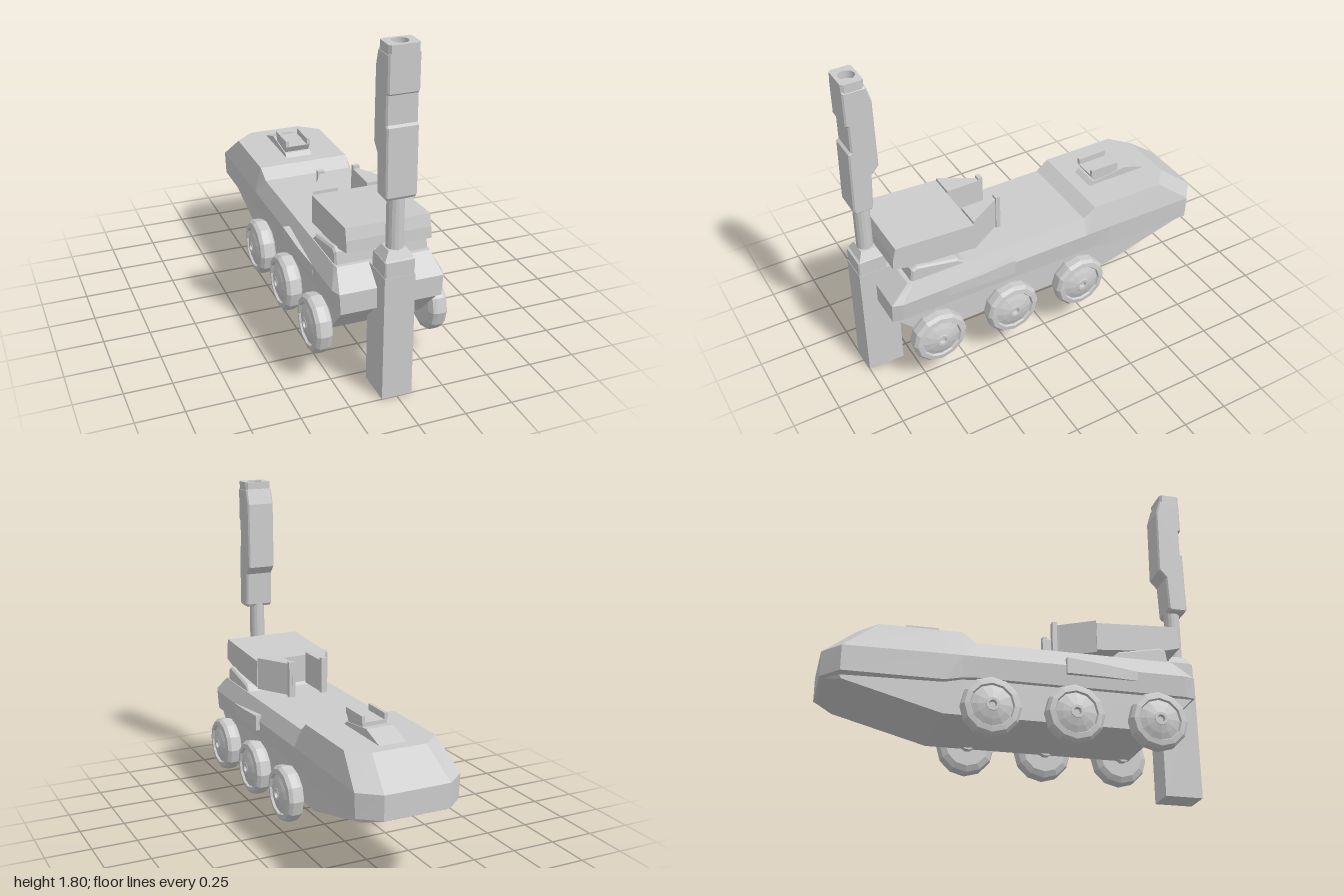
import * as THREE from 'three';

const grey = new THREE.MeshStandardMaterial({ color: 0xcccccc, flatShading: true });

function add(parent, name, geometry, x = 0, y = 0, z = 0) {
  const mesh = new THREE.Mesh(geometry, grey);
  mesh.name = name;
  mesh.position.set(x, y, z);
  parent.add(mesh);
  return mesh;
}

const shapeOf = pts => new THREE.Shape(pts.map(p => new THREE.Vector2(...p)));

// Side outline of [z, y] points, extruded across x and centred on x = 0
function sideSlab(pts, width, bevel = 0) {
  const g = new THREE.ExtrudeGeometry(shapeOf(pts), {
    depth: width - 2 * bevel, bevelEnabled: bevel > 0, bevelSegments: 1,
    bevelSize: bevel, bevelThickness: bevel, bevelOffset: -bevel,
  });
  g.translate(0, 0, -(width - 2 * bevel) / 2);
  return g.rotateY(-Math.PI / 2);
}

// Plan outline of [x, -z] points, extruded upwards from y0 to y1
function planSlab(shape, y0, y1) {
  const g = new THREE.ExtrudeGeometry(shape, { depth: y1 - y0, bevelEnabled: false });
  return g.rotateX(-Math.PI / 2).translate(0, y0, 0);
}

// Skin over half-sections (bottom to top on +x), mirrored and capped, front to rear
function loft(halves) {
  const rings = halves.map(h => [...h, ...h.slice().reverse().map(([x, y, z]) => [-x, y, z])]);
  const n = rings[0].length;
  const pos = [];
  const quad = (a, b, c, d) => pos.push(...a, ...b, ...c, ...a, ...c, ...d);
  for (let i = 0; i < rings.length - 1; i++) {
    for (let j = 0; j < n; j++) {
      const k = (j + 1) % n;
      quad(rings[i][j], rings[i + 1][j], rings[i + 1][k], rings[i][k]);
    }
  }
  const f = rings[0], r = rings[rings.length - 1];
  for (let j = 0; j < n / 2 - 1; j++) {
    quad(f[j], f[j + 1], f[n - 2 - j], f[n - 1 - j]);
    quad(r[n - 1 - j], r[n - 2 - j], r[j + 1], r[j]);
  }
  const g = new THREE.BufferGeometry();
  g.setAttribute('position', new THREE.Float32BufferAttribute(pos, 3));
  g.computeVertexNormals();
  return g;
}

export function createModel() {
  const model = new THREE.Group();
  model.name = 'sixWheeledVehicle';

  // Hull: bottom edge, shelf, lower belt, upper belt, deck edge
  add(model, 'hull', loft([
    [[.25, .28, .72], [.25, .47, .905], [.265, .47, .915], [.272, .58, .915], [.245, .67, .81]],
    [[.25, .28, .70], [.25, .47, .84], [.28, .47, .86], [.29, .58, .86], [.25, .67, .78]],
    [[.25, .28, -.24], [.25, .47, -.24], [.28, .47, -.24], [.29, .58, -.24], [.25, .67, -.24]],
    [[.25, .28, -.31], [.25, .465, -.31], [.28, .465, -.31], [.29, .58, -.31], [.255, .72, -.31]],
    [[.25, .28, -.40], [.25, .445, -.40], [.285, .445, -.40], [.29, .58, -.40], [.255, .72, -.40]],
    [[.25, .415, -.90], [.25, .435, -.91], [.285, .445, -.91], [.29, .575, -.91], [.255, .72, -.73]],
    [[.17, .437, -.985], [.175, .44, -.99], [.18, .445, -1], [.18, .575, -1], [.15, .72, -.82]],
  ]));

  // Flared side strips that end in a step
  for (const s of [1, -1]) {
    const strip = shapeOf([[.26, -.22], [.31, -.22], [.305, -.42], [.29, -.60], [.26, -.60]]);
    const g = planSlab(strip, .53, .615);
    const p = g.attributes.position;
    for (let i = 0; i < p.count; i++) {
      // Top drops towards the front
      if (p.getY(i) > .6) p.setY(i, .615 - (p.getZ(i) - .22) * .09);
      if (s < 0) p.setX(i, -p.getX(i));
    }
    if (s < 0) {
      for (let i = 0; i < p.count; i += 3) {
        const a = new THREE.Vector3().fromBufferAttribute(p, i);
        const b = new THREE.Vector3().fromBufferAttribute(p, i + 1);
        p.setXYZ(i, b.x, b.y, b.z);
        p.setXYZ(i + 1, a.x, a.y, a.z);
      }
    }
    g.computeVertexNormals();
    add(model, s > 0 ? 'leftSideStrip' : 'rightSideStrip', g);
  }

  // Wheels: faceted tyre with a shallow dished hub
  const profile = [
    [0, -.045], [.115, -.045], [.145, -.03], [.152, -.01], [.152, .03], [.138, .048],
    [.112, .052], [.106, .04], [.075, .052], [.036, .062], [.034, .064], [.02, .064], [.016, .045], [0, .045],
  ].map(p => new THREE.Vector2(...p));
  const wheelGeometry = new THREE.LatheGeometry(profile, 12);
  for (const s of [1, -1]) {
    for (const z of [.685, .25, -.175]) {
      const wheel = add(model, 'wheel', wheelGeometry, s * .303, .308, z);
      wheel.rotation.z = -s * Math.PI / 2;
      const axle = add(model, 'axle', new THREE.CylinderGeometry(.04, .04, .06, 10), s * .25, .308, z);
      axle.rotation.z = Math.PI / 2;
    }
  }

  // Launcher on its sloping mount
  const launcher = new THREE.Group();
  launcher.name = 'launcher';
  model.add(launcher);
  add(launcher, 'mountBase', sideSlab([[.79, .66], [.78, .735], [.75, .75], [.52, .705], [.47, .66]], .49, .01));
  add(launcher, 'pivot', sideSlab([[.74, .70], [.70, .78], [.50, .76], [.48, .69]], .26));
  add(launcher, 'launcherBox', sideSlab([[.87, .77], [.865, .83], [.85, .892], [.41, .868], [.41, .715], [.76, .742]], .44));
  for (const s of [1, -1]) {
    const pts = [[.08, -.41], [.215, -.41], [.115, -.24], [.095, -.20], [.08, -.20]];
    const door = planSlab(shapeOf(pts.map(([x, y]) => [s * x, y])), .705, .885);
    add(launcher, 'rearDoor', door);
    add(launcher, 'doorEdge', new THREE.BoxGeometry(.035, .20, .025), s * .098, .80, .213);
  }

  // Bracket on the rear deck
  const bracket = new THREE.Group();
  bracket.name = 'rearBracket';
  model.add(bracket);
  add(bracket, 'bracketBase', sideSlab([[-.38, .715], [-.41, .74], [-.62, .765], [-.77, .715]], .15));
  add(bracket, 'bracketBlock', sideSlab([[-.43, .73], [-.40, .78], [-.57, .78], [-.57, .73]], .14));
  for (const s of [1, -1]) {
    add(bracket, 'bracketRail', new THREE.BoxGeometry(.018, .035, .17), s * .064, .797, -.485);
  }

  // Front post with stepped shoulder
  const post = new THREE.Group();
  post.name = 'frontPost';
  model.add(post);
  add(post, 'postLower', sideSlab([[.80, 0], [1, 0], [1, .67], [.80, .67]], .158));
  add(post, 'postUpper', sideSlab([[.845, .66], [.998, .66], [.998, .75], [.985, .757], [.845, .757]], .154, .006));
  const collar = new THREE.CylinderGeometry(.048 * Math.SQRT2, .075 * Math.SQRT2, .045, 4);
  collar.rotateY(Math.PI / 4).scale(1, 1, .85);
  add(post, 'postCollar', collar, 0, .775, .925);
  add(post, 'neck', new THREE.CylinderGeometry(.043, .043, .34, 16), 0, .92, .925);

  // Tall head on the neck, with a round recess on top
  add(post, 'head', sideSlab([
    [.895, 1.065], [.98, 1.065], [.99, 1.08], [.985, 1.42], [.972, 1.43], [.972, 1.57], [.985, 1.58],
    [.985, 1.765], [.866, 1.765], [.842, 1.68], [.838, 1.31], [.878, 1.265], [.885, 1.08],
  ], .158, .008));
  const cap = shapeOf([[-.066, -.985], [.066, -.985], [.077, -.97], [.077, -.885], [.066, -.872], [-.066, -.872], [-.077, -.885], [-.077, -.97]]);
  cap.holes.push(new THREE.Path().absarc(0, -.925, .04, 0, Math.PI * 2, true));
  add(post, 'headCap', planSlab(cap, 1.755, 1.805));

  return model;
}
